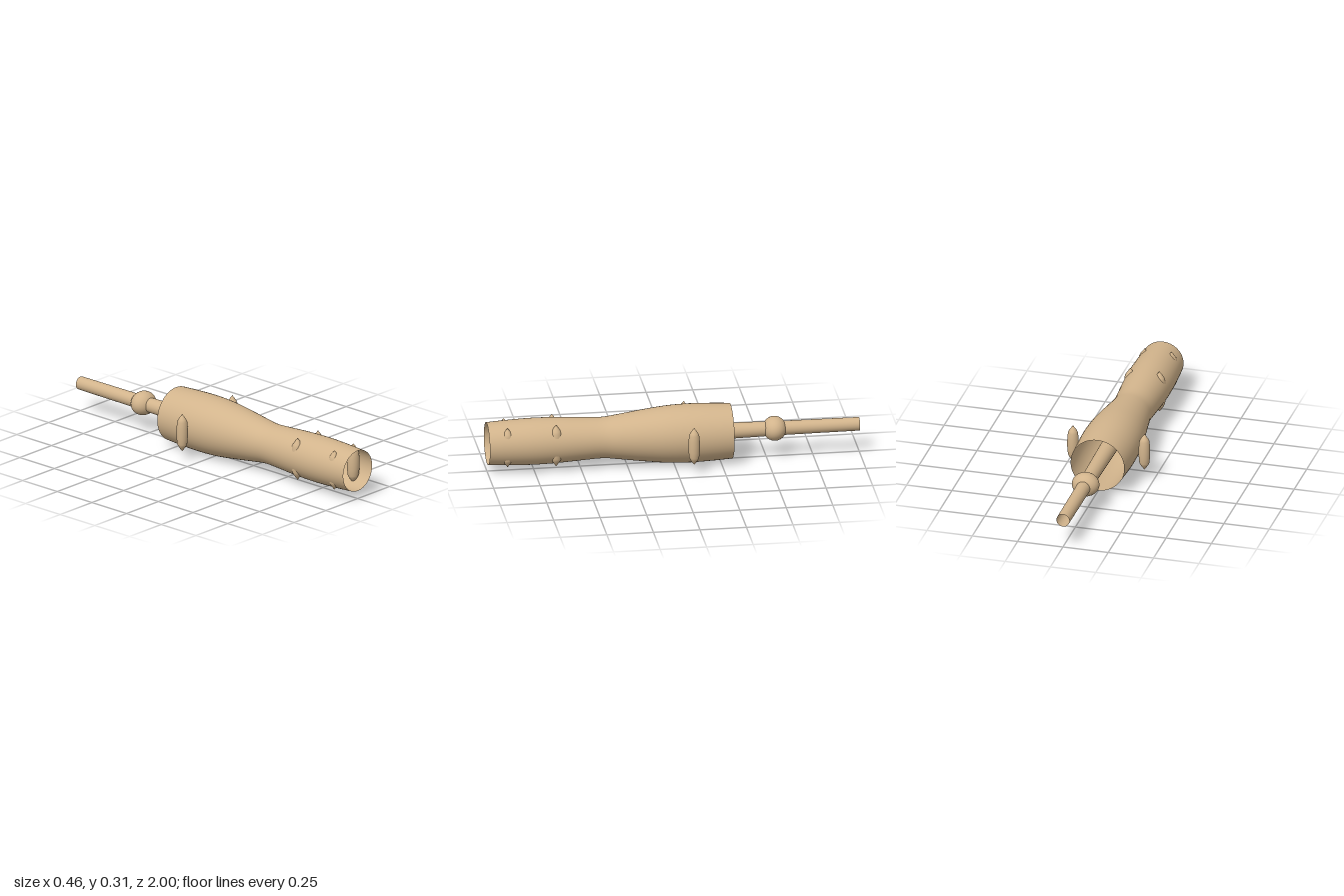
import * as THREE from 'three';

const AXIS_Y = 0.16;

export function createModel() {
  const model = new THREE.Group();
  const tan = new THREE.MeshStandardMaterial({ color: 0xd2b48c, side: THREE.DoubleSide });
  tan.name = 'tan';

  const add = (name, geometry, x, y, z) => {
    const mesh = new THREE.Mesh(geometry, tan);
    mesh.name = name;
    mesh.position.set(x, y, z);
    model.add(mesh);
    return mesh;
  };

  // Hollow waisted sleeve, open at both ends; points are [radius, z]
  const outline = [
    [0.148, -0.31], [0.154, -0.2], [0.157, -0.08], [0.152, 0.04], [0.137, 0.17],
    [0.119, 0.3], [0.11, 0.38], [0.114, 0.48], [0.121, 0.6], [0.125, 0.74],
    [0.121, 0.88], [0.114, 1],
  ].map(([r, z]) => new THREE.Vector2(r, z));
  const sleeve = new THREE.LatheGeometry(new THREE.SplineCurve(outline).getPoints(40), 48);
  sleeve.rotateX(Math.PI / 2);
  add('sleeve', sleeve, 0, AXIS_Y, 0);

  // Slightly tapered open tube running out of the back
  const tubeOutline = [[0.036, -1], [0.038, -0.6], [0.042, -0.35], [0.05, 0.2]]
    .map(([r, z]) => new THREE.Vector2(r, z));
  const tube = new THREE.LatheGeometry(tubeOutline, 32);
  tube.rotateX(Math.PI / 2);
  add('tube', tube, 0, AXIS_Y, 0);

  // Bead around the tube
  add('bead', new THREE.SphereGeometry(1, 32, 20), 0, AXIS_Y, -0.545).scale.set(0.074, 0.065, 0.063);

  // Upright pins with pointed ends, in mirrored pairs
  const half = [[1, 0.78], [0.95, 0.42], [0.85, 0.59], [0.66, 0.75], [0, 1]];
  half.sort((a, b) => a[1] - b[1]);
  const pinProfile = (radius, length) => {
    const sides = [[0.97, 0.3], [0.86, 0.6], [0.68, 0.72], [0.36, 0.86], [0, 1]];
    return [
      ...sides.slice().reverse().map(([r, t]) => [r, -t]), [1, 0], ...sides,
    ].map(([r, t]) => new THREE.Vector2(r * radius, t * length));
  };
  const pins = [
    { name: 'SidePin', x: 0.197, z: -0.085, radius: 0.031, length: 0.105 },
    { name: 'MiddlePin', x: 0.08, z: 0.64, radius: 0.035, length: 0.118 },
    { name: 'FrontPin', x: 0.074, z: 0.9, radius: 0.034, length: 0.111 },
  ];
  for (const { name, x, z, radius, length } of pins) {
    const geometry = new THREE.LatheGeometry(pinProfile(radius, length), 24);
    add('left' + name, geometry, x, AXIS_Y, z);
    add('right' + name, geometry, -x, AXIS_Y, z);
  }

  return model;
}
